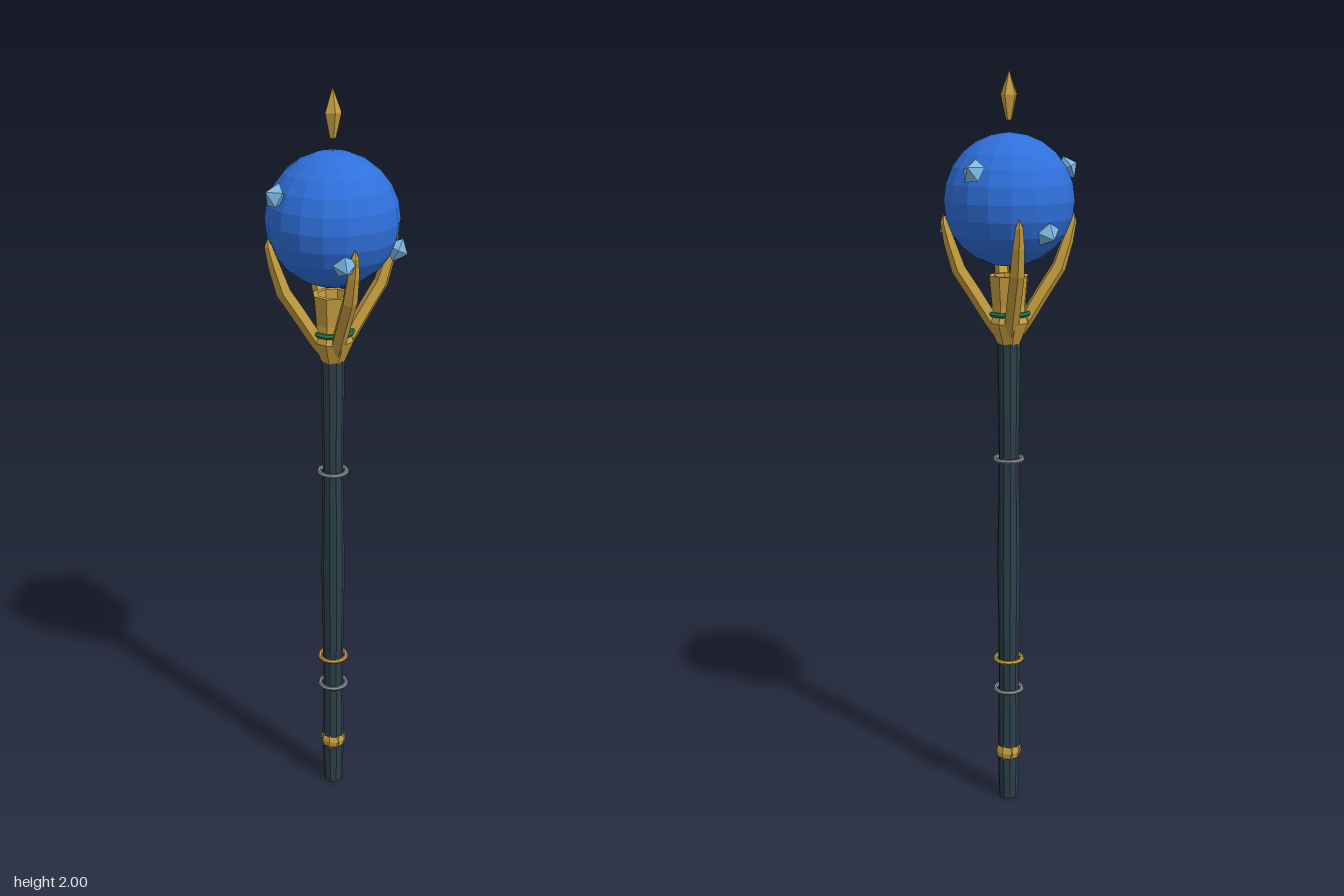
import * as THREE from 'three';

const mat = (color) => new THREE.MeshStandardMaterial({ color, flatShading: true });

// Tapered prong lofted from five-sided rings along a path of [radius, y, half width]
function prongGeometry(path, sides = 5) {
  const pos = [], idx = [];
  path.forEach(([r, y, w], i) => {
    const a = path[Math.max(i - 1, 0)], b = path[Math.min(i + 1, path.length - 1)];
    const len = Math.hypot(b[0] - a[0], b[1] - a[1]);
    const nx = (b[1] - a[1]) / len, ny = -(b[0] - a[0]) / len;
    for (let k = 0; k < sides; k++) {
      const t = (k / sides) * Math.PI * 2;
      const out = Math.cos(t) * w;
      pos.push(r + nx * out, y + ny * out, Math.sin(t) * w);
    }
  });
  for (let i = 0; i < path.length - 1; i++) {
    for (let k = 0; k < sides; k++) {
      const a = i * sides + k, b = i * sides + (k + 1) % sides;
      idx.push(a, a + sides, b, b, a + sides, b + sides);
    }
  }
  const g = new THREE.BufferGeometry();
  g.setAttribute('position', new THREE.Float32BufferAttribute(pos, 3));
  g.setIndex(idx);
  g.computeVertexNormals();
  return g;
}

export function createModel() {
  const root = new THREE.Group();
  root.name = 'staff';
  root.position.set(-0.007, 0, 0.01);

  const dark = mat(0x2c3f49), gold = mat(0xc79f3f), silver = mat(0x868b94);
  const blue = mat(0x2f70dc), ice = mat(0x7fb9e6), green = mat(0x1f7a4c);

  const add = (name, geometry, material, parent = root) => {
    const m = new THREE.Mesh(geometry, material);
    m.name = name;
    parent.add(m);
    return m;
  };
  const lathe = (name, points, sides, material, parent) =>
    add(name, new THREE.LatheGeometry(points.map(([r, y]) => new THREE.Vector2(r, y)), sides), material, parent);
  const ring = (name, y, r, tube, material) => {
    const m = add(name, new THREE.TorusGeometry(r, tube, 6, 16), material);
    m.rotation.x = Math.PI / 2;
    m.position.y = y;
  };

  // Shaft, slightly swelling between the rings
  lathe('shaft', [[0, 0], [0.027, 0], [0.031, 0.14], [0.028, 0.33], [0.028, 0.42],
    [0.032, 0.7], [0.027, 0.995], [0.031, 1.31], [0, 1.31]], 10, dark);

  // Rings along the shaft
  ring('lowerRing', 0.33, 0.037, 0.006, silver);
  ring('goldRing', 0.42, 0.037, 0.006, gold);
  ring('upperRing', 0.995, 0.037, 0.006, silver);

  // Studded band near the foot
  lathe('footBand', [[0.029, 0.122], [0.033, 0.128], [0.036, 0.142], [0.033, 0.155], [0.029, 0.16]], 10, gold);
  for (let i = 0; i < 8; i++) {
    const a = (i / 8) * Math.PI * 2;
    const stud = add('footStud', new THREE.OctahedronGeometry(1), gold);
    stud.scale.set(0.009, 0.024, 0.007);
    stud.position.set(Math.sin(a) * 0.03, 0.142, Math.cos(a) * 0.03);
    stud.rotation.y = a;
  }

  // Socket below the orb
  lathe('socket', [[0, 1.305], [0.03, 1.305], [0.056, 1.365], [0.048, 1.385], [0.046, 1.41],
    [0.053, 1.487], [0.04, 1.487], [0.036, 1.43], [0, 1.43]], 8, gold);
  ring('socketRing', 1.388, 0.05, 0.007, green);

  // Four claws holding the orb
  const claw = prongGeometry([[0.03, 1.335, 0.012], [0.048, 1.375, 0.02], [0.088, 1.44, 0.02],
    [0.13, 1.505, 0.02], [0.153, 1.575, 0.016], [0.167, 1.625, 0.01], [0.168, 1.645, 0.001]]);
  for (let i = 0; i < 4; i++) {
    add('claw', claw, gold).rotation.y = THREE.MathUtils.degToRad(-53.5 + i * 90);
  }

  // Orb with embedded crystals
  const orb = new THREE.Group();
  orb.name = 'orbGroup';
  orb.position.y = 1.679;
  root.add(orb);
  add('orb', new THREE.SphereGeometry(0.169, 18, 12), blue, orb);

  const up = new THREE.Vector3(0, 1, 0);
  const spots = [[0.015, 0.08, -0.16], [-0.108, 0.078, 0.12], [0.17, -0.08, -0.04],
    [-0.158, -0.08, -0.075], [0.08, -0.078, 0.145]];
  spots.forEach((p) => {
    const dir = new THREE.Vector3(...p).normalize();
    const crystal = lathe('crystal', [[0, 0.145], [0.033, 0.178], [0, 0.206]], 5, ice, orb);
    crystal.quaternion.setFromUnitVectors(up, dir);
  });

  // Floating spindle above the orb
  lathe('finial', [[0, 1.878], [0.008, 1.878], [0.022, 1.94], [0, 2]], 5, gold).rotation.y = Math.PI;

  return root;
}
